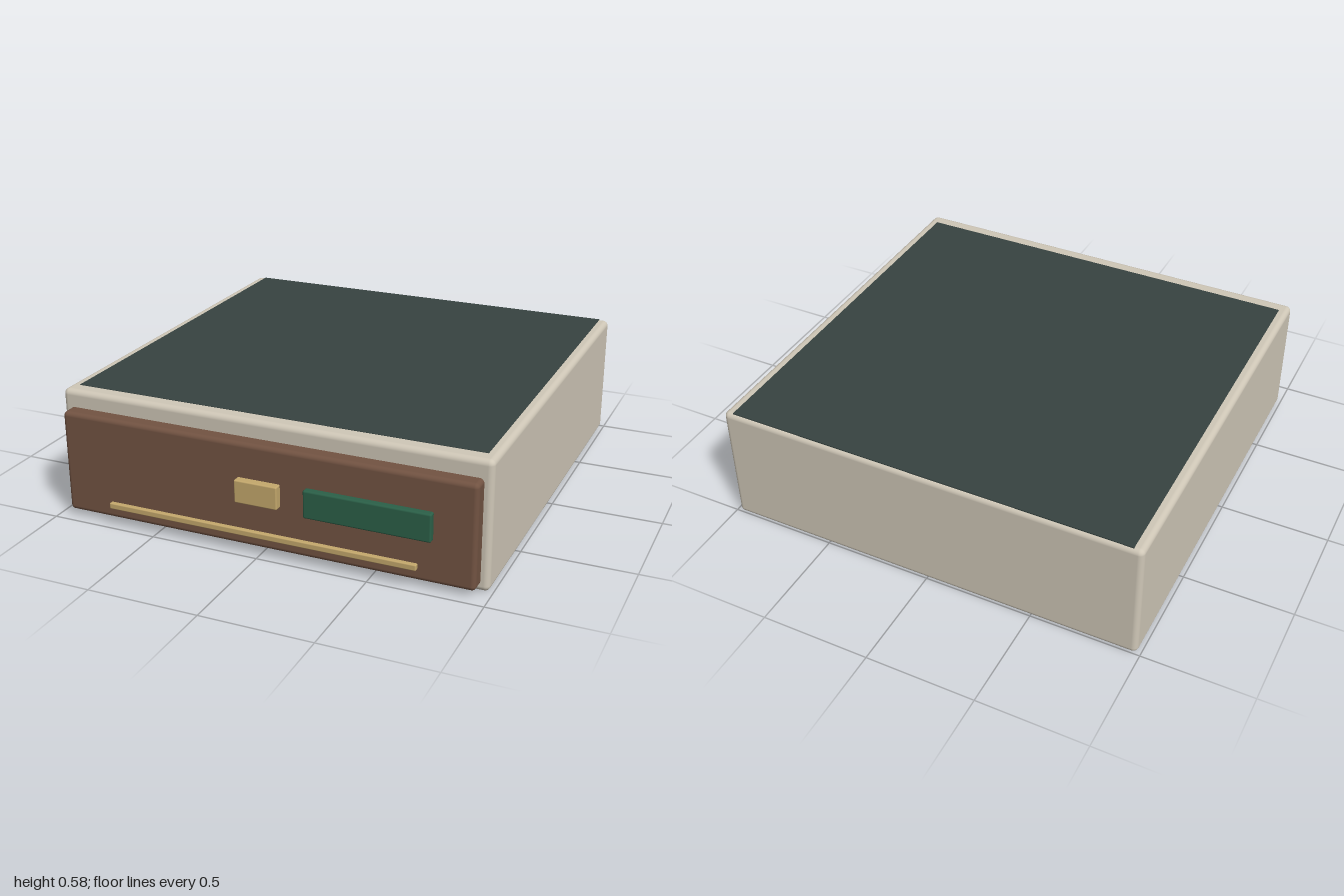
import * as THREE from 'three';
import { RoundedBoxGeometry } from 'three/addons/geometries/RoundedBoxGeometry.js';

const mat = (name, color) => {
  const m = new THREE.MeshStandardMaterial({ color });
  m.name = name;
  return m;
};

// Rounded block given by its low and high corner
function block(name, material, [x0, y0, z0], [x1, y1, z1], radius) {
  const w = x1 - x0, h = y1 - y0, d = z1 - z0;
  const geometry = radius
    ? new RoundedBoxGeometry(w, h, d, 4, radius)
    : new THREE.BoxGeometry(w, h, d);
  const mesh = new THREE.Mesh(geometry, material);
  mesh.name = name;
  mesh.position.set((x0 + x1) / 2, (y0 + y1) / 2, (z0 + z1) / 2);
  return mesh;
}

export function createModel() {
  const cream = mat('cream casing', 0xcfc7b7);
  const slate = mat('dark slate', 0x374341);
  const brown = mat('brown wood', 0x725342);
  const green = mat('green label', 0x2b6048);
  const brass = mat('brass', 0xc4a86c);

  const group = new THREE.Group();
  group.name = 'drawerBox';
  group.add(
    // Casing with the dark sheet lying in its top
    block('casing', cream, [-0.985, 0, -1], [0.985, 0.576, 0.893], 0.025),
    block('topSheet', slate, [-0.94, 0.56, -0.987], [0.94, 0.578, 0.825]),
    // Drawer front and its fittings
    block('drawerFront', brown, [-0.948, 0.03, 0.85], [0.948, 0.498, 0.96], 0.02),
    block('handle', brass, [-0.098, 0.24, 0.955], [0.098, 0.343, 0.995], 0.006),
    block('labelPlate', green, [0.218, 0.231, 0.965], [0.772, 0.356, 1], 0.008),
    block('trimBar', brass, [-0.712, 0.094, 0.977], [0.712, 0.121, 1], 0.005),
  );
  return group;
}
